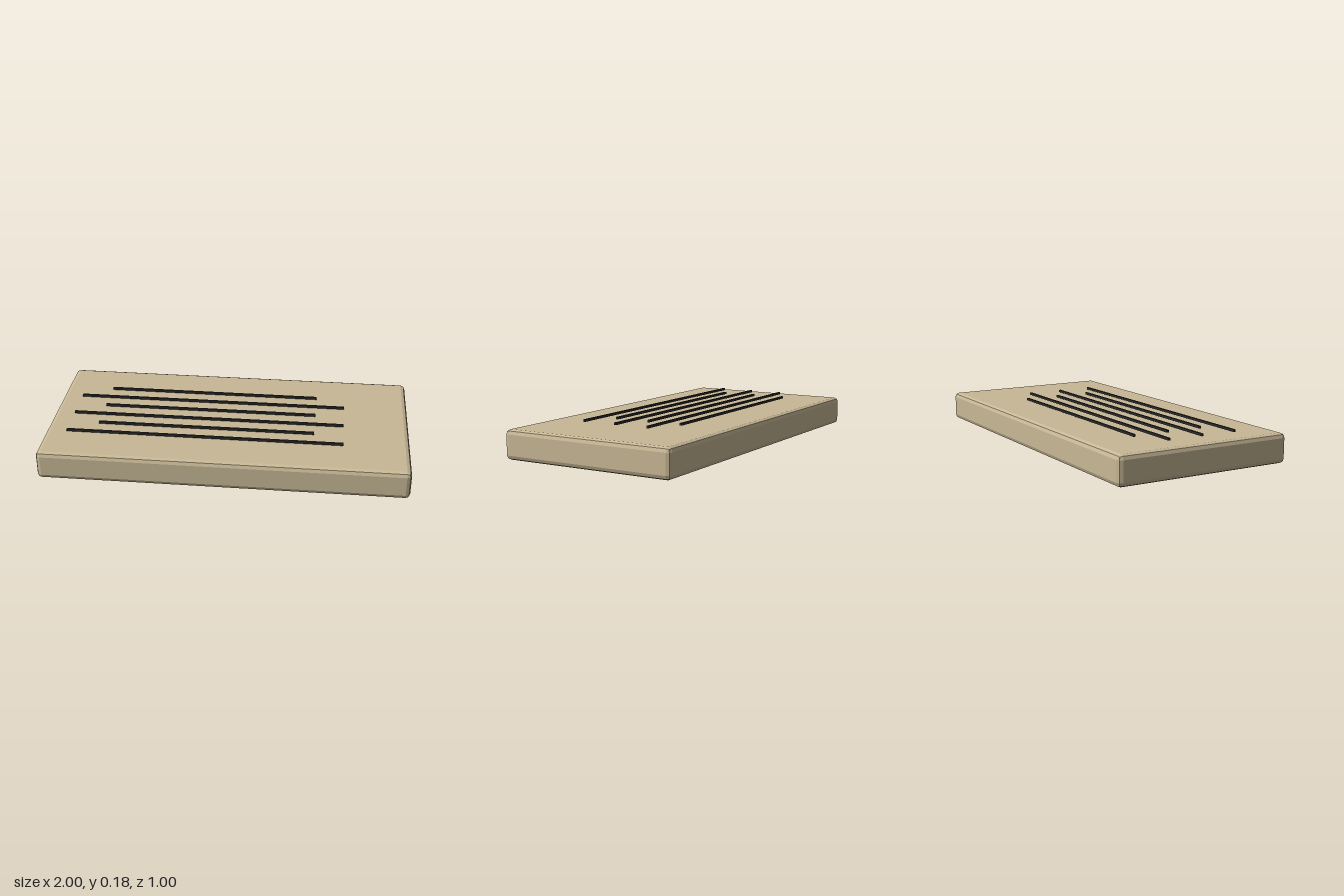
import * as THREE from 'three';
import { RoundedBoxGeometry } from 'three/addons/geometries/RoundedBoxGeometry.js';

export function createModel() {
  const model = new THREE.Group();
  model.name = 'slabWithLines';

  const sand = new THREE.MeshStandardMaterial({ color: 0xc8b896, flatShading: true });
  sand.name = 'sand';
  const charcoal = new THREE.MeshStandardMaterial({ color: 0x2a2a2a });
  charcoal.name = 'charcoal';

  // Slab with two-facet bevelled edges
  const slab = new THREE.Mesh(new RoundedBoxGeometry(2, 0.16, 1, 1, 0.025), sand);
  slab.name = 'slab';
  slab.position.y = 0.08;
  model.add(slab);

  // Six thin bars hovering over the top, alternating short and long
  const lines = new THREE.Group();
  lines.name = 'lines';
  for (let i = 0; i < 6; i++) {
    const length = i % 2 ? 1.52 : 1.2;
    const line = new THREE.Mesh(new THREE.BoxGeometry(length, 0.013, 0.012), charcoal);
    line.name = i % 2 ? 'longLine' : 'shortLine';
    line.position.set(-0.12, 0.175, -0.239 + i * 0.1);
    lines.add(line);
  }
  model.add(lines);

  return model;
}
